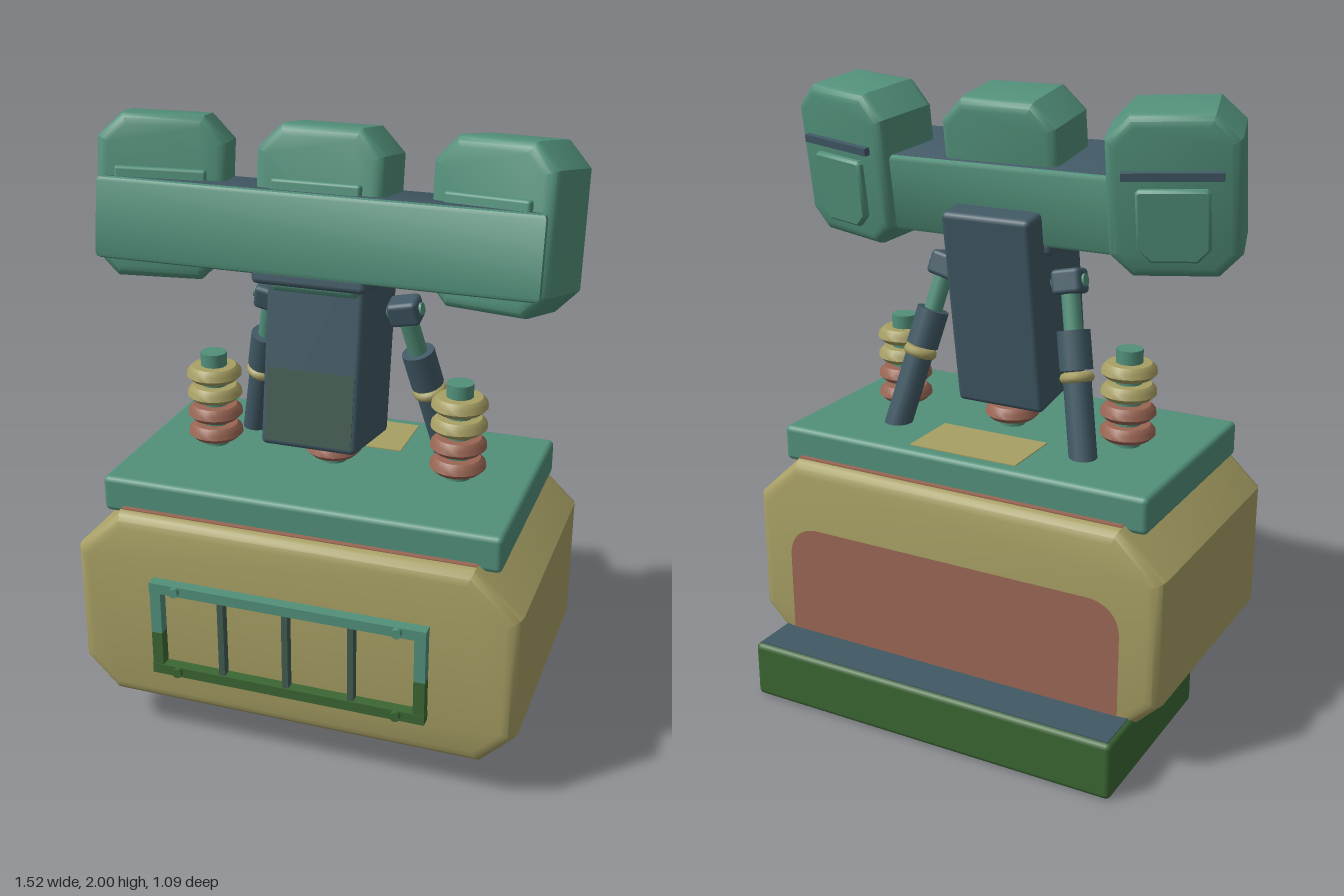
import * as THREE from 'three';
import { toCreasedNormals } from 'three/addons/utils/BufferGeometryUtils.js';
import { RoundedBoxGeometry } from 'three/addons/geometries/RoundedBoxGeometry.js';

const paint = (name, color) => new THREE.MeshStandardMaterial({ name, color });

export function createModel() {
  const teal = paint('teal', 0x52907a);
  const slate = paint('slate', 0x415965);
  const tan = paint('tan', 0xa79f64);
  const green = paint('dark green', 0x3b6633);
  const salmon = paint('salmon', 0x9a6654);
  const moss = paint('moss slate', 0x435c52);

  const model = new THREE.Group();

  const add = (parent, name, geometry, material, x = 0, y = 0, z = 0) => {
    const mesh = new THREE.Mesh(geometry, material);
    mesh.name = name;
    mesh.position.set(x, y, z);
    parent.add(mesh);
    return mesh;
  };
  const group = (parent, name, x = 0, y = 0, z = 0) => {
    const g = new THREE.Group();
    g.name = name;
    g.position.set(x, y, z);
    parent.add(g);
    return g;
  };
  const plain = (w, h, d) => new THREE.BoxGeometry(w, h, d);
  const soft = (w, h, d, r = 0.018) => new RoundedBoxGeometry(w, h, d, 2, r);
  const rod = (r, h, n = 16) => new THREE.CylinderGeometry(r, r, h, n);

  // Bevelled extrusion of an outline, centred in depth
  const prism = (points, depth, bevel, segments = 3) => {
    const shape = new THREE.Shape(points.map(([x, y]) => new THREE.Vector2(x, y)));
    const geo = new THREE.ExtrudeGeometry(shape, {
      depth: depth - 2 * bevel, bevelThickness: bevel, bevelSize: bevel,
      bevelOffset: -bevel, bevelSegments: segments,
    });
    geo.translate(0, 0, bevel - depth / 2);
    return toCreasedNormals(geo, 0.6);
  };
  // Eight-sided outline with separate top and bottom corner cuts
  const octagon = (w, y0, y1, bx, by, tx, ty) => [
    [-w + bx, y0], [w - bx, y0], [w, y0 + by], [w, y1 - ty],
    [w - tx, y1], [-w + tx, y1], [-w, y1 - ty], [-w, y0 + by],
  ];

  // Base block with slate upper faces
  add(model, 'base', soft(1.3, 0.19, 0.66), green, 0, 0.095, -0.215);
  add(model, 'baseTop', plain(1.27, 0.006, 0.63), slate, 0, 0.19, -0.215);
  add(model, 'baseFrontPanel', plain(1.27, 0.1, 0.006), slate, 0, 0.115, 0.115);

  // Main body
  add(model, 'body', prism(octagon(0.73, 0.135, 0.8, 0.11, 0.11, 0.15, 0.14), 0.88, 0.045), tan, 0, 0, 0.055);
  const back = new THREE.Shape();
  back.moveTo(-0.6, 0.19);
  back.lineTo(0.6, 0.19);
  back.lineTo(0.6, 0.47);
  back.quadraticCurveTo(0.59, 0.56, 0.5, 0.57);
  back.lineTo(-0.5, 0.57);
  back.quadraticCurveTo(-0.59, 0.56, -0.6, 0.47);
  const backPanel = add(model, 'backPanel', new THREE.ShapeGeometry(back), salmon, 0, 0, -0.388);
  backPanel.rotation.y = Math.PI;
  for (const z of [-0.336, 0.441])
    add(model, 'topTrim', plain(1.16, 0.006, 0.018), salmon, 0, 0.8, z);

  // Deck plate and its inlay
  add(model, 'deck', soft(1.3, 0.12, 0.755), teal, 0, 0.835, 0.053);
  add(model, 'deckInlay', plain(0.38, 0.006, 0.22), tan, 0, 0.895, -0.17);

  // Front grille
  const grille = group(model, 'grille', 0, 0.435, 0.513);
  add(grille, 'topRail', plain(0.91, 0.034, 0.04), teal, 0, 0.148, 0);
  add(grille, 'bottomRail', plain(0.91, 0.034, 0.04), green, 0, -0.148, 0);
  for (const s of [-1, 1]) {
    add(grille, 'upperPost', plain(0.036, 0.15, 0.036), teal, s * 0.436, 0.06, 0);
    add(grille, 'lowerPost', plain(0.036, 0.13, 0.036), green, s * 0.436, -0.08, 0);
    for (const y of [-0.145, 0.15])
      add(grille, 'bolt', rod(0.016, 0.02, 12).rotateX(Math.PI / 2), y > 0 ? teal : green, s * 0.365, y, 0.026);
  }
  for (const x of [-0.215, 0, 0.215])
    add(grille, 'bar', plain(0.02, 0.27, 0.03), moss, x, 0, 0);

  // Ringed insulator posts
  const ring = toCreasedNormals(new THREE.LatheGeometry([
    [0.04, -0.025], [0.072, -0.025], [0.09, -0.008], [0.088, 0.008], [0.072, 0.024], [0.04, 0.025],
  ].map(([x, y]) => new THREE.Vector2(x, y)), 24), 0.7);
  const post = (x, count, height) => {
    const g = group(model, 'insulator', x, 0.895, 0.06);
    add(g, 'post', rod(0.043, height), teal, 0, height / 2, 0);
    for (let i = 0; i < count; i++)
      add(g, 'ring', ring, i < 2 ? salmon : tan, 0, 0.047 + i * 0.068, 0);
  };
  post(-0.415, 4, 0.32);
  post(0.415, 4, 0.32);
  post(0, 1, 0.2);

  // Telescopic struts leaning in towards the neck
  for (const s of [-1, 1]) {
    const foot = new THREE.Vector3(s * 0.345, 0.87, -0.115);
    const dir = new THREE.Vector3(s * 0.222, 1.415, 0.02).sub(foot);
    const g = group(model, 'strut', foot.x, foot.y, foot.z);
    const length = dir.length();
    g.quaternion.setFromUnitVectors(new THREE.Vector3(0, 1, 0), dir.normalize());
    add(g, 'lowerTube', rod(0.045, 0.26), slate, 0, 0.13, 0);
    add(g, 'strutRing', new THREE.TorusGeometry(0.038, 0.018, 8, 20).rotateX(Math.PI / 2), tan, 0, 0.275, 0);
    add(g, 'collar', rod(0.053, 0.125), slate, 0, 0.36, 0);
    add(g, 'piston', rod(0.03, 0.2), teal, 0, 0.45, 0);
    add(g, 'joint', soft(0.1, 0.08, 0.08, 0.015), slate, 0, length, 0);
    add(g, 'pin', rod(0.02, 0.115, 12).rotateZ(Math.PI / 2), teal, 0, length, 0);
  }

  // Leaning neck
  const tilt = -0.16;
  const neck = group(model, 'neck', 0, 1.3275, 0.0875);
  neck.rotation.x = tilt;
  add(neck, 'neckBlock', soft(0.31, 0.655, 0.345), slate);
  add(neck, 'neckFrontPanel', plain(0.28, 0.23, 0.006), moss, 0, -0.195, 0.172);

  // Head: crossbar with slate top and bottom, carrying three pods
  const head = group(model, 'head', 0, 1.673, 0.115);
  head.rotation.x = tilt;
  const plan = [[-0.69, 0.17], [-0.69, 0.08], [-0.4, -0.167], [0.4, -0.167], [0.69, 0.08], [0.69, 0.17]];
  add(head, 'crossbar', prism(plan, 0.25, 0.015, 2).rotateX(Math.PI / 2), [slate, teal]);
  add(head, 'neckCollar', soft(0.36, 0.05, 0.33), slate, 0, -0.13, 0);

  const pod = (x, z, yaw) => {
    const g = group(head, 'pod', x, 0.067, z);
    g.rotation.y = yaw;
    add(g, 'podShell', prism(octagon(0.2, -0.25, 0.25, 0.07, 0.07, 0.075, 0.075), 0.25, 0.035), teal);
    add(g, 'podFrontPlate', soft(0.28, 0.2, 0.03, 0.01), teal, 0, -0.01, 0.133);
    if (x === 0) return;
    add(g, 'podLedge', plain(0.3, 0.025, 0.03), slate, 0, 0.075, -0.13);
    add(g, 'podBackPanel', prism(octagon(0.11, -0.19, 0.035, 0.04, 0.04, 0.01, 0.01), 0.03, 0.008, 1), teal, 0, 0, -0.133);
  };
  pod(0, -0.01, 0);
  for (const s of [-1, 1]) pod(s * 0.545, -0.025, -s * 0.28);

  return model;
}
